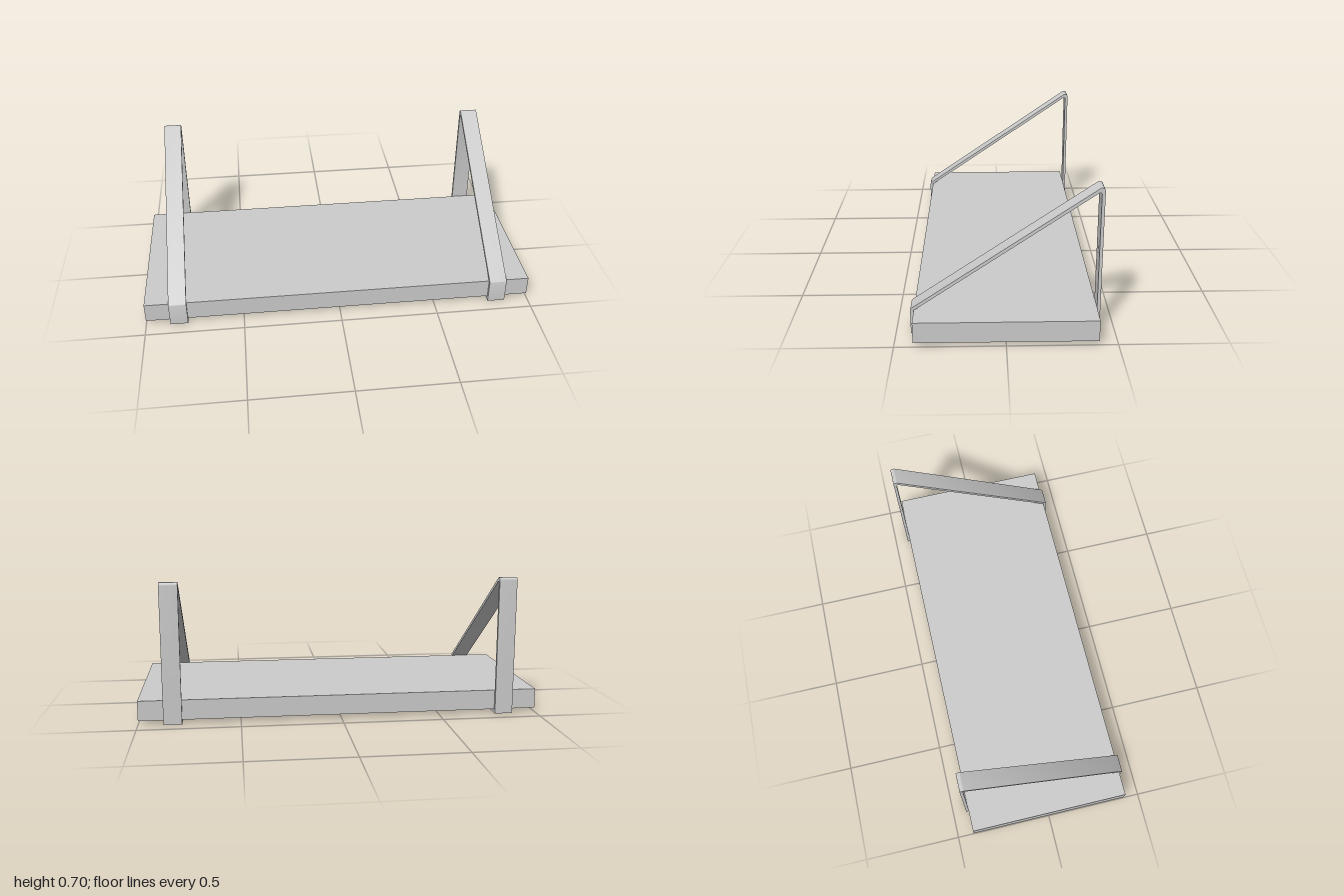
import * as THREE from 'three';
import { toCreasedNormals } from 'three/addons/utils/BufferGeometryUtils.js';

const STRAP_WIDTH = 0.09;
const STRAP_X = 0.832;

// Closed side profile (z, y) of the strap; rounded at the front lip and the top
function traceLoop(path, back, front, bottom, lip, peak) {
  path.moveTo(back, bottom);
  path.lineTo(front, bottom);
  path.lineTo(front, lip.y0);
  path.quadraticCurveTo(front, lip.yc, lip.z1, lip.y1);
  path.lineTo(peak.z0, peak.y0);
  path.bezierCurveTo(peak.z0 - 0.008, peak.y0 + 0.005, back, peak.y0 + 0.002, back, peak.y1);
  path.closePath();
  return path;
}

function strapGeometry() {
  const shape = traceLoop(new THREE.Shape(), -0.43, 0.432, 0,
    { y0: 0.112, yc: 0.123, z1: 0.422, y1: 0.13 },
    { z0: -0.407, y0: 0.696, y1: 0.682 });
  shape.holes.push(traceLoop(new THREE.Path(), -0.415, 0.417, 0.016,
    { y0: 0.108, yc: 0.115, z1: 0.41, y1: 0.12 },
    { z0: -0.4, y0: 0.673, y1: 0.668 }));
  const geometry = new THREE.ExtrudeGeometry(shape, {
    depth: STRAP_WIDTH, bevelEnabled: false, curveSegments: 10,
  });
  geometry.translate(0, 0, -STRAP_WIDTH / 2);
  geometry.rotateY(-Math.PI / 2);
  return toCreasedNormals(geometry, 0.6);
}

export function createModel() {
  const model = new THREE.Group();
  model.name = 'wallShelf';
  const material = new THREE.MeshStandardMaterial({ color: 0xcccccc });

  // Plank, resting just above the strap floors
  const board = new THREE.Mesh(new THREE.BoxGeometry(2, 0.1, 0.83), material);
  board.name = 'shelfBoard';
  board.position.y = 0.07;
  model.add(board);

  // Matching bent-metal brackets near each end
  const geometry = strapGeometry();
  for (const [name, side] of [['leftBracket', 1], ['rightBracket', -1]]) {
    const bracket = new THREE.Mesh(geometry, material);
    bracket.name = name;
    bracket.position.x = side * STRAP_X;
    model.add(bracket);
  }
  return model;
}
